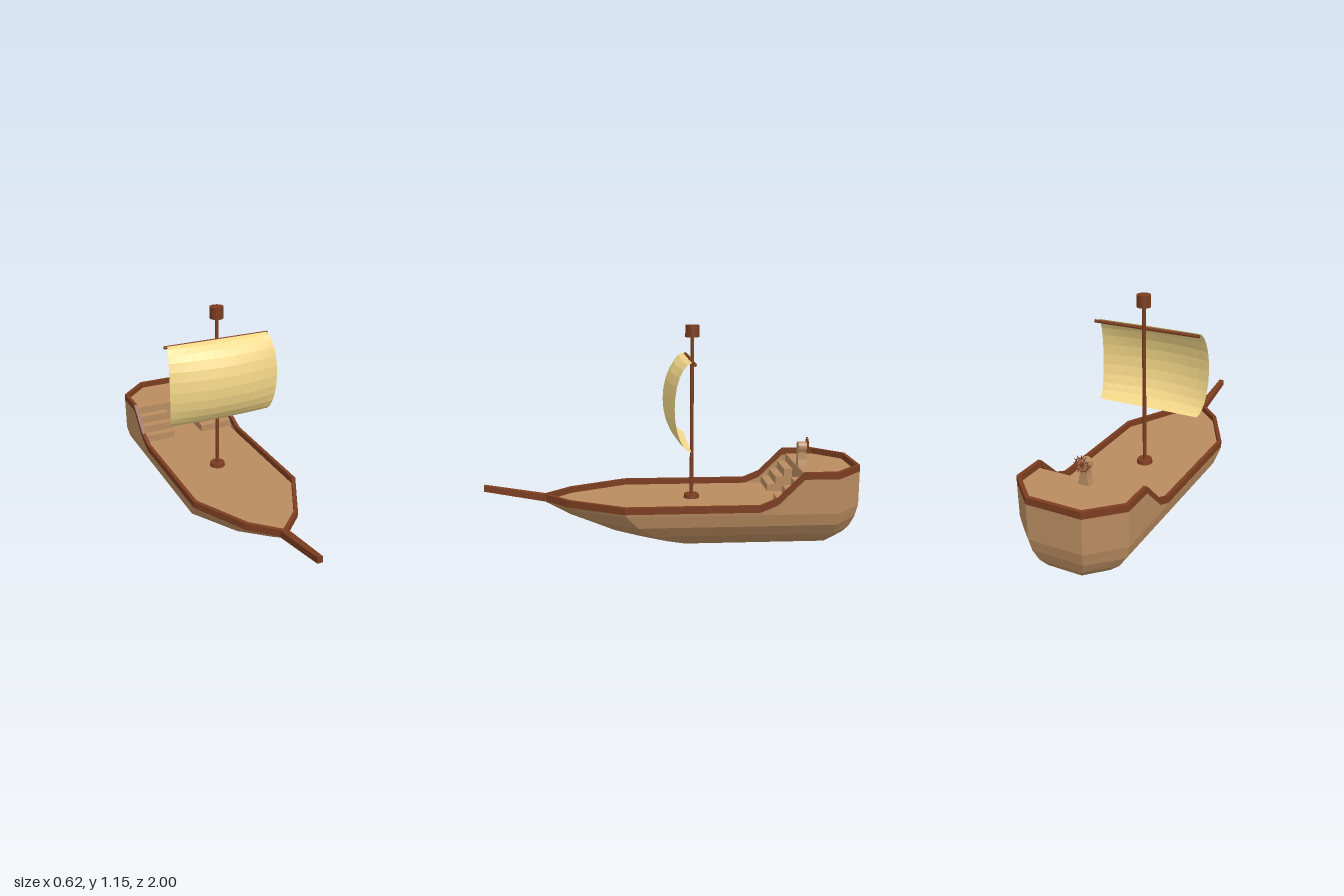
import * as THREE from 'three';

const material = (color, side = THREE.FrontSide) =>
  new THREE.MeshStandardMaterial({ color, side, flatShading: true });
const wood = material(0xb98c60);
const planking = material(0xb98c60, THREE.DoubleSide);
const trim = material(0x7c3d20);
const cloth = material(0xf3d788, THREE.DoubleSide);

function add(parent, name, geometry, mat, x = 0, y = 0, z = 0) {
  const mesh = new THREE.Mesh(geometry, mat);
  mesh.name = name;
  mesh.position.set(x, y, z);
  parent.add(mesh);
  return mesh;
}

// Closed loop running bow -> left side -> stern -> right side
const mirrorLoop = (half) => [
  ...half,
  ...half.slice(1).reverse().map(([x, y, z]) => [-x, y, z]),
];

// Joins equal-length closed loops with quads; optionally caps the first
function skin(loops, cap = false) {
  const n = loops[0].length;
  const index = [];
  for (let k = 0; k < loops.length - 1; k++) {
    for (let i = 0; i < n; i++) {
      const j = (i + 1) % n;
      const a = k * n + i, b = k * n + j;
      index.push(a, b, b + n, a, b + n, a + n);
    }
  }
  if (cap) for (let i = 1; i < n - 1; i++) index.push(0, i + 1, i);
  const g = new THREE.BufferGeometry();
  g.setAttribute('position', new THREE.Float32BufferAttribute(loops.flat(2), 3));
  g.setIndex(index);
  g.computeVertexNormals();
  return g;
}

// Height of the rail at the stations of the half outline
const sheer = [0.25, 0.25, 0.25, 0.25, 0.287, 0.42, 0.42, 0.42];
const sideStations = [-0.445, -0.535, -0.67];
const outer = [[0, 0.69], [0.145, 0.55], [0.3, 0.25],
  ...sideStations.map((z) => [0.3, z]), [0.3, -0.85], [0.145, -1]];
const inner = [[0, 0.662], [0.129, 0.538], [0.28, 0.244],
  ...sideStations.map((z) => [0.28, z]), [0.28, -0.842], [0.137, -0.98]];
const railLoop = (outline, drop) =>
  mirrorLoop(outline.map(([x, z], i) => [x, sheer[i] - drop, z]));

// Hull levels: height, half width, bow z, shoulder z, rear shoulder z, stern z
function hullLevel([y, w, bow, shoulder, rear, stern]) {
  return mirrorLoop([
    [0, y, bow],
    [w * 0.483, y, shoulder + (bow - shoulder) * 0.68],
    [w, y, shoulder],
    ...sideStations.map((z) => [w, y, z]),
    [w, y, rear],
    [w * 0.483, y, stern],
  ]);
}

function deckShape(points) {
  // Shape y is -z, so that turning it flat puts the bow at +z
  return new THREE.Shape(points.map(([x, z]) => new THREE.Vector2(x, -z)));
}

function addHull(ship) {
  const levels = [
    [0, 0.14, -0.04, -0.07, -0.82, -0.88],
    [0.033, 0.19, 0.245, 0.03, -0.83, -0.93],
    [0.075, 0.24, 0.4, 0.1, -0.84, -0.962],
    [0.135, 0.282, 0.55, 0.18, -0.848, -0.985],
    [0.2, 0.298, 0.668, 0.24, -0.85, -1],
  ].map(hullLevel);
  add(ship, 'hull', skin([...levels, railLoop(outer, 0.035)], true), planking);

  add(ship, 'rail', skin([
    railLoop(outer, 0.036), railLoop(outer, 0), railLoop(inner, 0),
    railLoop(inner, 0.036), railLoop(outer, 0.036),
  ]), trim);

  // Bowsprit, rising and tapering towards its tip
  const sprit = ([z, bottom, top, w]) =>
    [[w, bottom, z], [w, top, z], [-w, top, z], [-w, bottom, z]];
  const rear = sprit([0.65, 0.207, 0.243, 0.021]);
  const tip = sprit([1, 0.27, 0.302, 0.014]);
  const bowsprit = skin([tip, rear], true);
  add(ship, 'bowsprit', bowsprit, material(0x7c3d20, THREE.DoubleSide));
}

function addDecks(ship) {
  const front = [[0, 0.662], [0.129, 0.538], [0.28, 0.244], [0.28, -0.7]];
  const mainDeck = new THREE.ShapeGeometry(deckShape(
    [...front, ...front.slice(1).reverse().map(([x, z]) => [-x, z])]));
  mainDeck.rotateX(-Math.PI / 2);
  add(ship, 'mainDeck', mainDeck, planking, 0, 0.217, 0);

  const quarter = [[0.29, -0.69], [0.29, -0.845], [0.14, -0.99]];
  const quarterDeck = new THREE.ExtrudeGeometry(deckShape(
    [...quarter, ...quarter.slice().reverse().map(([x, z]) => [-x, z])]),
  { depth: 0.172, bevelEnabled: false });
  quarterDeck.rotateX(-Math.PI / 2);
  add(ship, 'quarterDeck', quarterDeck, wood, 0, 0.216, 0);

  // Three steps on each side up to the quarter deck
  for (const side of [1, -1]) {
    for (let i = 0; i < 3; i++) {
      const top = 0.257 + i * 0.044;
      const nose = -0.55 - i * 0.0465;
      const depth = nose + 0.695;
      add(ship, 'stairStep', new THREE.BoxGeometry(0.2, top - 0.21, depth), wood,
        side * 0.19, (top + 0.21) / 2, nose - depth / 2);
    }
  }
}

function addMast(ship) {
  const mast = new THREE.Group();
  mast.name = 'mast';
  mast.position.z = -0.115;
  ship.add(mast);
  add(mast, 'mastPole', new THREE.CylinderGeometry(0.01, 0.01, 0.9, 12), trim, 0, 0.665, 0);
  add(mast, 'mastBase', new THREE.CylinderGeometry(0.04, 0.043, 0.022, 16), trim, 0, 0.227, 0);
  add(mast, 'lookoutBarrel', new THREE.CylinderGeometry(0.037, 0.037, 0.063, 14), trim, 0, 1.12, 0);
}

function addSail(group) {
  // Sheet bellied forward both up its height and across its width
  const geometry = new THREE.PlaneGeometry(2, 2, 10, 12);
  const p = geometry.attributes.position;
  for (let i = 0; i < p.count; i++) {
    const u = p.getX(i);
    const angle = p.getY(i) * Math.PI / 2 * 0.97;
    const belly = Math.cos(angle);
    p.setXYZ(i, u * (0.283 + 0.028 * belly), 0.755 + 0.226 * Math.sin(angle),
      -0.095 + (0.093 + 0.042 * (1 - u * u)) * belly);
  }
  geometry.computeVertexNormals();
  add(group, 'sail', geometry, cloth);

  const yard = new THREE.CylinderGeometry(0.009, 0.009, 0.594, 8);
  yard.rotateZ(Math.PI / 2);
  add(group, 'yard', yard, trim, 0, 0.972, -0.104);
}

function addHelm(ship) {
  const helm = new THREE.Group();
  helm.name = 'helm';
  helm.position.set(0, 0.388, -0.72);
  ship.add(helm);

  // Post with a flared foot and rounded head
  const s = new THREE.Shape();
  s.moveTo(-0.03, 0);
  s.lineTo(0.03, 0);
  s.lineTo(0.022, 0.035);
  s.lineTo(0.018, 0.075);
  s.lineTo(0.027, 0.095);
  s.absarc(0, 0.104, 0.028, 0, Math.PI);
  s.lineTo(-0.027, 0.095);
  s.lineTo(-0.018, 0.075);
  s.lineTo(-0.022, 0.035);
  const post = new THREE.ExtrudeGeometry(s, { depth: 0.045, bevelEnabled: false, curveSegments: 6 });
  add(helm, 'helmPost', post, wood, 0, 0, -0.02);

  const wheel = new THREE.Group();
  wheel.name = 'steeringWheel';
  wheel.position.set(0, 0.11, -0.027);
  helm.add(wheel);
  add(wheel, 'wheelRim', new THREE.TorusGeometry(0.034, 0.003, 6, 24), trim);
  const hub = new THREE.CylinderGeometry(0.008, 0.008, 0.016, 10);
  hub.rotateX(Math.PI / 2);
  add(wheel, 'wheelHub', hub, trim);
  const spoke = new THREE.CylinderGeometry(0.0022, 0.0016, 0.046, 5);
  spoke.translate(0, 0.024, 0);
  for (let i = 0; i < 12; i++) {
    add(wheel, 'wheelSpoke', spoke, trim).rotation.z = i * Math.PI / 6;
  }
}

export function createModel() {
  const model = new THREE.Group();
  model.name = 'sailingShip';
  const ship = new THREE.Group();
  ship.name = 'shipBody';
  ship.position.x = 0.004;
  model.add(ship);
  addHull(ship);
  addDecks(ship);
  addMast(ship);
  addHelm(ship);
  addSail(model);
  return model;
}
